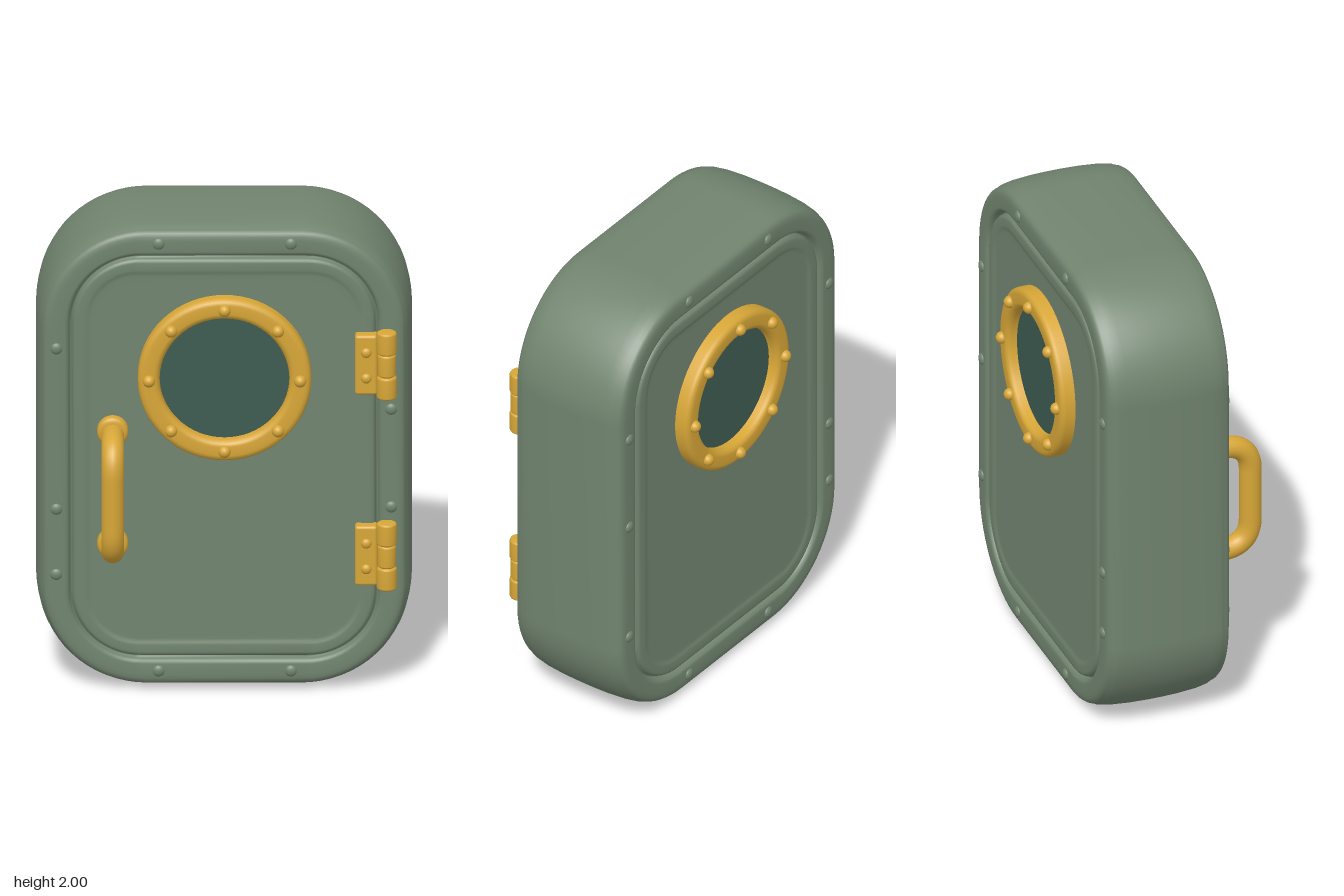
import * as THREE from 'three';
import { RoundedBoxGeometry } from 'three/addons/geometries/RoundedBoxGeometry.js';

const MID_Z = -0.08;

const paint = new THREE.MeshStandardMaterial({ color: 0x71846f });
paint.name = 'green paint';
const brass = new THREE.MeshStandardMaterial({ color: 0xd7a637 });
brass.name = 'brass';
const glass = new THREE.MeshStandardMaterial({ color: 0x3d5b51 });
glass.name = 'dark glass';

function add(parent, name, geometry, material, x = 0, y = 0, z = 0) {
  const mesh = new THREE.Mesh(geometry, material);
  mesh.name = name;
  mesh.position.set(x, y, z);
  parent.add(mesh);
  return mesh;
}

// Counter-clockwise rounded rectangle, shrunk by inset
function outline(inset, steps = 16) {
  const hw = 0.754 - inset, hh = 1 - inset, r = 0.45 - inset * 1.2;
  const points = [];
  [[1, 1], [-1, 1], [-1, -1], [1, -1]].forEach(([sx, sy], q) => {
    for (let i = 0; i <= steps; i++) {
      const a = (q + i / steps) * Math.PI / 2;
      points.push([sx * (hw - r) + r * Math.cos(a), sy * (hh - r) + r * Math.sin(a)]);
    }
  });
  return points;
}

// Shell lofted through [inset, depth] sections, mirrored front to back
function shellGeometry() {
  const half = [
    [0, 0.03], [0.002, 0.1], [0.009, 0.18], [0.017, 0.22], [0.023, 0.228],
    [0.029, 0.248], [0.038, 0.259], [0.052, 0.264], [0.07, 0.266], [0.115, 0.266],
    [0.127, 0.262], [0.134, 0.25], [0.137, 0.234], [0.145, 0.234], // frame lip and groove
    [0.148, 0.25], [0.154, 0.259], [0.165, 0.262], [0.195, 0.262], // door rim
    [0.204, 0.26], [0.213, 0.257], [0.222, 0.256], [0.25, 0.256], // recessed panel
  ];
  const sections = [...half.map(([i, d]) => [i, -d]).reverse(), ...half];
  const pos = [], index = [];
  sections.forEach(([inset, d]) => outline(inset).forEach(([x, y]) => pos.push(x, y, d)));
  const n = outline(0).length, last = (sections.length - 1) * n;
  for (let s = 0; s < sections.length - 1; s++) {
    for (let i = 0; i < n; i++) {
      const j = (i + 1) % n, a = s * n, b = a + n;
      index.push(a + i, a + j, b + j, a + i, b + j, b + i);
    }
  }
  const back = pos.length / 3, front = back + 1;
  pos.push(0, 0, sections[0][1], 0, 0, sections[sections.length - 1][1]);
  for (let i = 0; i < n; i++) {
    const j = (i + 1) % n;
    index.push(front, last + i, last + j, back, j, i);
  }
  const g = new THREE.BufferGeometry();
  g.setAttribute('position', new THREE.Float32BufferAttribute(pos, 3));
  g.setIndex(index);
  g.computeVertexNormals();
  return g;
}

const rivetGeometry = (r, flat) => new THREE.SphereGeometry(r, 16, 12).scale(1, 1, flat);

// Porthole facing +z with its base at z = 0
function porthole(name) {
  const group = new THREE.Group();
  group.name = name;
  const profile = [
    [0.348, 0], [0.348, 0.05], [0.345, 0.062], [0.336, 0.071], [0.323, 0.075],
    [0.285, 0.075], [0.273, 0.071], [0.264, 0.062], [0.26, 0.05], [0.26, 0],
  ].map(([x, y]) => new THREE.Vector2(x, y));
  add(group, 'portholeRing', new THREE.LatheGeometry(profile, 64).rotateX(Math.PI / 2), brass);
  add(group, 'portholeGlass', new THREE.CircleGeometry(0.265, 48), glass, 0, 0, 0.028);
  for (let i = 0; i < 8; i++) {
    const a = i * Math.PI / 4;
    add(group, 'portholeRivet', rivetGeometry(0.025, 1), brass,
      0.303 * Math.cos(a), 0.303 * Math.sin(a), 0.077);
  }
  return group;
}

// Door hinge: leaf, three-knuckle barrel and screws
function hinge(y) {
  const group = new THREE.Group();
  group.name = 'hinge';
  group.position.set(0, y, 0);
  add(group, 'hingeLeaf', new RoundedBoxGeometry(0.09, 0.255, 0.065, 3, 0.012), brass, 0.57, 0, 0.192);
  add(group, 'hingeWeb', new THREE.BoxGeometry(0.06, 0.24, 0.03), brass, 0.625, 0, 0.192);
  const knuckle = [[0, -0.047], [0.033, -0.047], [0.038, -0.044], [0.041, -0.038],
    [0.041, 0.038], [0.038, 0.044], [0.033, 0.047], [0, 0.047]]
    .map(([x, h]) => new THREE.Vector2(x, h));
  for (const k of [-1, 0, 1]) {
    const m = add(group, 'hingeKnuckle', new THREE.LatheGeometry(knuckle, 24), brass, 0.652, k * 0.095, 0.215);
    if (k === 0) m.scale.set(0.92, 1, 0.92);
  }
  for (const k of [-1, 1]) {
    add(group, 'hingeScrew', rivetGeometry(0.021, 0.7), brass, 0.57, k * 0.055, 0.224);
  }
  return group;
}

// Pull handle: bent bar on two round feet
function handle() {
  const group = new THREE.Group();
  group.name = 'handle';
  group.position.x = -0.446;
  const v = (y, z) => new THREE.Vector3(0, y, z);
  const path = new THREE.CurvePath();
  const top = 1.11, low = 0.636, out = 0.376, bend = 0.125;
  path.add(new THREE.LineCurve3(v(low, 0.15), v(low, out - bend)));
  path.add(new THREE.QuadraticBezierCurve3(v(low, out - bend), v(low, out), v(low + bend, out)));
  path.add(new THREE.LineCurve3(v(low + bend, out), v(top - bend, out)));
  path.add(new THREE.QuadraticBezierCurve3(v(top - bend, out), v(top, out), v(top, out - bend)));
  path.add(new THREE.LineCurve3(v(top, out - bend), v(top, 0.15)));
  add(group, 'handleBar', new THREE.TubeGeometry(path, 72, 0.046, 18), brass);
  const foot = [[0.063, 0], [0.063, 0.045], [0.058, 0.056], [0.045, 0.062], [0, 0.062]]
    .map(([x, y]) => new THREE.Vector2(x, y));
  for (const y of [low, top + 0.008]) {
    add(group, 'handleFoot', new THREE.LatheGeometry(foot, 28).rotateX(Math.PI / 2), brass, 0, y, 0.155);
  }
  return group;
}

export function createModel() {
  const model = new THREE.Group();
  model.name = 'hatchDoor';
  add(model, 'frameAndDoor', shellGeometry(), paint, 0, 1, MID_Z);

  // Frame rivets on both faces
  const ends = [[-0.262, 1.92], [0.268, 1.92], [-0.262, 0.085], [0.268, 0.085]];
  const left = [[-0.672, 1.47], [-0.672, 0.78], [-0.672, 0.5]];
  const frontRivets = [...ends, ...left, [0.67, 1.21], [0.67, 0.79]];
  const backRivets = [...ends, ...left, [0.67, 1.47], [0.67, 1.04], [0.67, 0.5]];
  const rivet = rivetGeometry(0.025, 0.6);
  for (const [x, y] of frontRivets) add(model, 'frameRivet', rivet, paint, x, y, 0.182);
  for (const [x, y] of backRivets) add(model, 'frameRivet', rivet, paint, x, y, -0.343);

  const front = porthole('frontPorthole');
  front.position.set(0.002, 1.35, 0.16);
  const back = porthole('backPorthole');
  back.position.set(0.002, 1.35, -0.324);
  back.rotation.y = Math.PI;
  model.add(front, back, handle(), hinge(1.412), hinge(0.592));
  return model;
}
